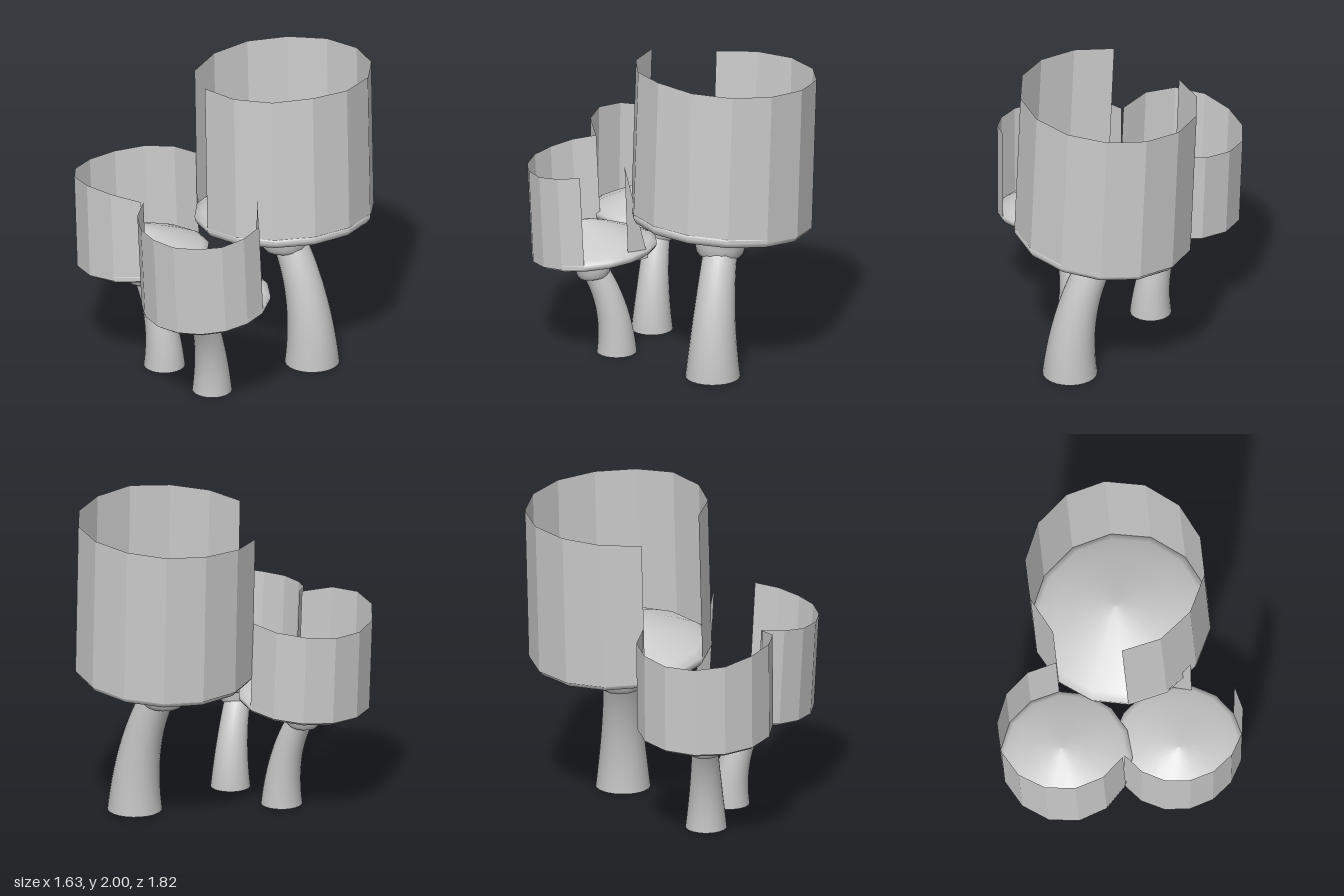
import * as THREE from 'three';

const smooth = new THREE.MeshStandardMaterial({ color: 0xcccccc, side: THREE.DoubleSide });
const flat = new THREE.MeshStandardMaterial({ color: 0xcccccc, side: THREE.DoubleSide, flatShading: true });

// Skin a list of equally long rings of Vector3.
function loft(rings, closed) {
  const n = rings[0].length, index = [];
  for (let i = 0; i < rings.length - 1; i++) {
    for (let j = 0; j < (closed ? n : n - 1); j++) {
      const a = i * n + j, b = i * n + (j + 1) % n;
      index.push(a, b, a + n, b, b + n, a + n);
    }
  }
  const geo = new THREE.BufferGeometry().setFromPoints(rings.flat());
  geo.setIndex(index);
  geo.computeVertexNormals();
  return geo;
}

// Linear reading of evenly spaced values, t from 0 to 1.
function sample(values, t) {
  const k = Math.min(Math.floor(t * (values.length - 1)), values.length - 2);
  return THREE.MathUtils.lerp(values[k], values[k + 1], t * (values.length - 1) - k);
}

// Cap profile: [share of the outline, height in radii], from dome top to neck.
const capProfile = [
  [0.001, 0.41], [0.15, 0.38], [0.4, 0.29], [0.7, 0.16], [0.92, 0.05], [1, -0.01],
  [0.99, -0.07], [0.96, -0.11], [0.85, -0.13], [0.6, -0.11], [0.44, -0.12], [0.35, -0.16],
  [0.3, -0.25], [0.28, -0.36], [0.26, -0.44], [0.22, -0.49], [0.15, -0.5],
];

// axis: cap centre at rim height; ring: outline ellipse; arc: wall from and to, in degrees
function makeMushroom({ name, axis, tilt, ring, arc, wallCorners, gapCorners, tops, foot, radii }) {
  const [cx, cy, cz] = axis, [a, b] = tilt, [ox, oz, rx, rz] = ring;
  const group = new THREE.Group();
  group.name = name;
  const add = (part, geo, mat) => {
    const mesh = new THREE.Mesh(geo, mat);
    mesh.name = part;
    group.add(mesh);
  };
  const rimY = (x, z) => cy + a * (x - cx) + b * (z - cz);

  // Outline corners: the wall first, then the gap
  const corner = (degrees) => {
    const t = THREE.MathUtils.degToRad(degrees);
    const x = ox + rx * Math.cos(t), z = oz + rz * Math.sin(t);
    return new THREE.Vector3(x, rimY(x, z), z);
  };
  const outline = [];
  for (let i = 0; i < wallCorners; i++) {
    outline.push(corner(arc[0] + (arc[1] - arc[0]) * i / (wallCorners - 1)));
  }
  for (let i = 1; i <= gapCorners; i++) {
    outline.push(corner(arc[1] + (360 + arc[0] - arc[1]) * i / (gapCorners + 1)));
  }

  // Domed cap with a rolled rim and a neck underneath
  const centre = new THREE.Vector3(...axis);
  add('cap', loft(capProfile.map(([share, height]) => outline.map((p) =>
    centre.clone().lerp(p, share).addScaledVector(new THREE.Vector3(-a, 1, -b), height * rx))), true), smooth);

  // Faceted open wall standing on the rim, with an uneven top
  const base = outline.slice(0, wallCorners).map((p) => p.clone().setY(p.y - 0.03));
  const top = base.map((p, i) => {
    const y = sample(tops, i / (wallCorners - 1)), lean = 0.4 * (y - p.y);
    return new THREE.Vector3(p.x - a * lean, y, p.z - b * lean);
  });
  add('wall', loft([top, base], false), flat);

  // Bent stem, wider at the open foot
  const stemTop = cy - 0.25 * rx;
  const path = new THREE.QuadraticBezierCurve3(
    new THREE.Vector3(foot[0], 0, foot[1]),
    new THREE.Vector3(foot[0], 0.58 * stemTop, foot[1]),
    new THREE.Vector3(cx, stemTop, cz));
  const rows = 20, sides = 24;
  const geo = new THREE.TubeGeometry(path, rows, 1, sides);
  const pos = geo.attributes.position, v = new THREE.Vector3();
  for (let i = 0; i <= rows; i++) {
    const c = path.getPointAt(i / rows);
    const r = THREE.MathUtils.lerp(radii[1], radii[0], (1 - i / rows) ** 1.6);
    for (let j = 0; j <= sides; j++) {
      const k = i * (sides + 1) + j;
      v.fromBufferAttribute(pos, k).sub(c).multiplyScalar(r).add(c);
      pos.setXYZ(k, v.x, v.y, v.z);
    }
  }
  add('stem', geo, smooth);
  return group;
}

export function createModel() {
  const model = new THREE.Group();
  model.name = 'mushroomCluster';

  model.add(makeMushroom({
    name: 'largeMushroom', axis: [0.24, 1, -0.335], tilt: [0.09, 0.05], ring: [0.25, -0.33, 0.56, 0.57],
    arc: [157, 469], wallCorners: 13, gapCorners: 1, tops: [1.86, 1.89, 1.95, 2, 1.96],
    foot: [0.465, -0.34], radii: [0.172, 0.105],
  }));
  model.add(makeMushroom({
    name: 'rightMushroom', axis: [-0.4, 0.74, 0.28], tilt: [0.1, 0], ring: [-0.385, 0.285, 0.41, 0.425],
    arc: [50, 288], wallCorners: 10, gapCorners: 4, tops: [1.28, 1.335, 1.3, 1.24, 1.24, 1.27, 1.3],
    foot: [-0.225, 0.27], radii: [0.13, 0.08],
  }));
  model.add(makeMushroom({
    name: 'frontMushroom', axis: [0.27, 0.7, 0.53], tilt: [0.03, -0.13], ring: [0.28, 0.49, 0.41, 0.39],
    arc: [-9, 168], wallCorners: 9, gapCorners: 7, tops: [1.3, 1.25, 1.23, 1.24, 1.28],
    foot: [0.225, 0.36], radii: [0.125, 0.08],
  }));

  // Lone pointed shard of wall behind the front cap
  const shard = new THREE.BufferGeometry().setFromPoints([
    new THREE.Vector3(0.48, 1.33, 0.23), new THREE.Vector3(0.5, 0.7, 0.2), new THREE.Vector3(0.37, 0.7, 0.11),
  ]);
  shard.computeVertexNormals();
  const mesh = new THREE.Mesh(shard, flat);
  mesh.name = 'wallShard';
  model.add(mesh);
  return model;
}
